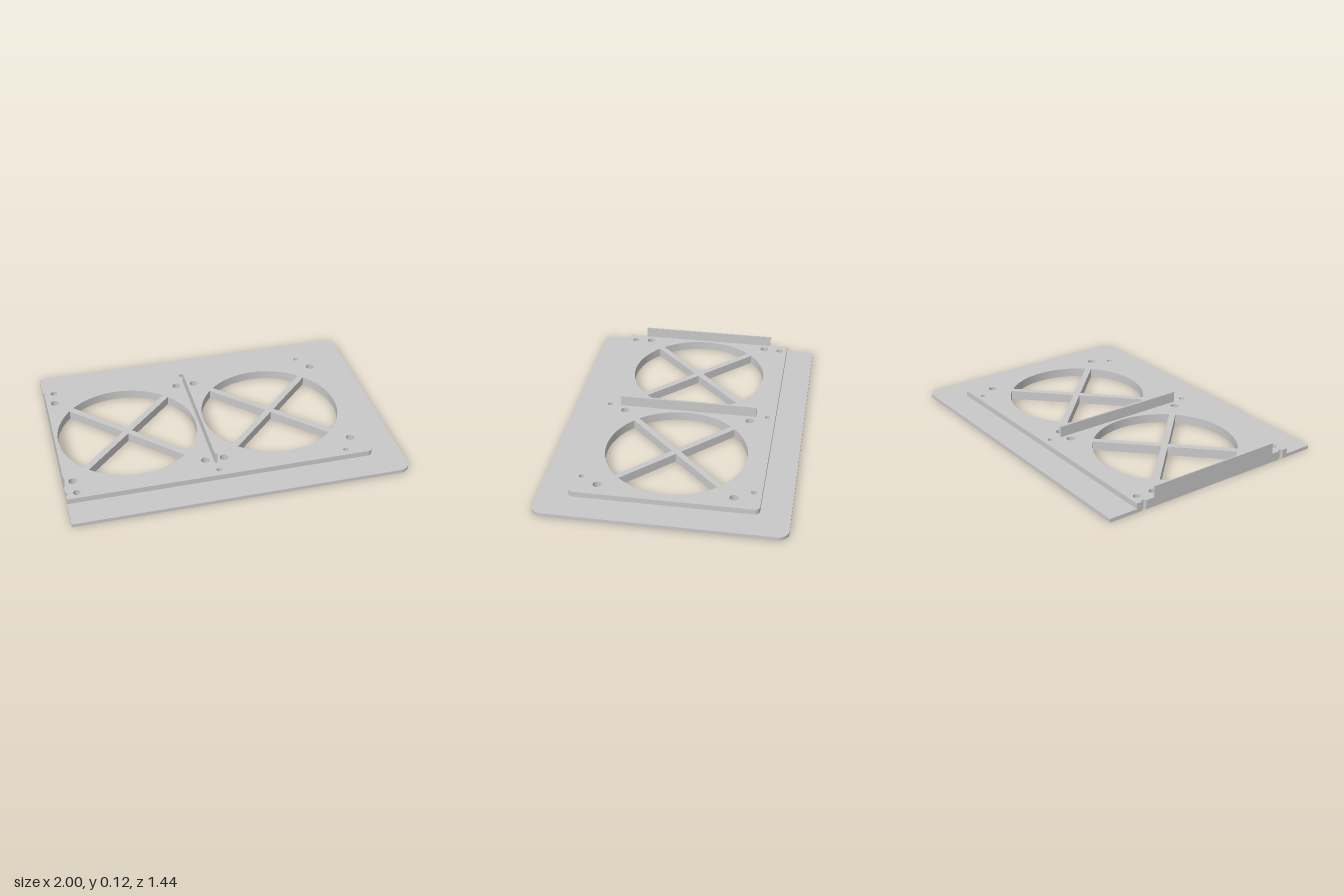
import * as THREE from 'three';

const FANS = [-0.553, 0.343];  // opening centres along x
const FAN_R = 0.4215;
const SPOKE = 0.019;           // half width of a spoke
const ROW = 0.496;             // z of the outer screw rows

// Plate outline: square on the left with two half-round notches, rounded on the right
function outline(right, depth, corner) {
  const s = new THREE.Shape();
  s.moveTo(-1, -depth);
  s.lineTo(right - corner, -depth);
  s.absarc(right - corner, -depth + corner, corner, -Math.PI / 2, 0, false);
  s.absarc(right - corner, depth - corner, corner, 0, Math.PI / 2, false);
  s.lineTo(-1, depth);
  for (const z of [ROW, -ROW]) s.absarc(-1, z, 0.014, Math.PI / 2, -Math.PI / 2, true);
  s.closePath();
  return s;
}

function addHoles(shape) {
  // Four sector openings per fan leave a diagonal cross of spokes
  const d = Math.asin(SPOKE / FAN_R);
  const tip = SPOKE * Math.SQRT2;
  for (const cx of FANS) {
    for (let k = 0; k < 4; k++) {
      const a = k * Math.PI / 2;
      const p = new THREE.Path();
      p.absarc(cx, 0, FAN_R, a - Math.PI / 4 + d, a + Math.PI / 4 - d, false);
      p.lineTo(cx + Math.cos(a) * tip, Math.sin(a) * tip);
      p.closePath();
      shape.holes.push(p);
    }
  }
  // Screw holes: x, z, radius, mirrored front to back
  const screws = [
    [-0.943, 0.391, 0.025], [-0.162, 0.391, 0.025], [-0.049, 0.391, 0.025], [0.734, 0.391, 0.025],
    [-0.935, ROW, 0.021], [-0.104, ROW, 0.016], [0.671, ROW, 0.016],
  ];
  for (const [x, z, r] of screws) {
    for (const side of [-1, 1]) {
      const p = new THREE.Path();
      p.absarc(x, z * side, r, 0, Math.PI * 2, false);
      shape.holes.push(p);
    }
  }
  return shape;
}

export function createModel() {
  const model = new THREE.Group();
  model.name = 'fanMountPlate';
  const grey = new THREE.MeshStandardMaterial({ color: 0xc8c8c8 });
  grey.name = 'plain grey';

  const add = (name, geometry, x, y) => {
    const mesh = new THREE.Mesh(geometry, grey);
    mesh.name = name;
    mesh.position.set(x, y, 0);
    model.add(mesh);
  };
  const plate = (shape, height) => new THREE.ExtrudeGeometry(addHoles(shape),
    { depth: height, bevelEnabled: false, curveSegments: 24 }).rotateX(-Math.PI / 2);

  // Two stacked plates
  add('basePlate', plate(outline(1, 0.719, 0.065), 0.021), 0, 0);
  add('raisedPlate', plate(outline(0.824, 0.544, 0.03), 0.0335), 0, 0.021);

  // Upright dividers
  add('middleDivider', new THREE.BoxGeometry(0.014, 0.066, 0.855), -0.106, 0.0875);
  add('edgeDivider', new THREE.BoxGeometry(0.007, 0.066, 0.855), -0.9965, 0.0875);
  return model;
}
